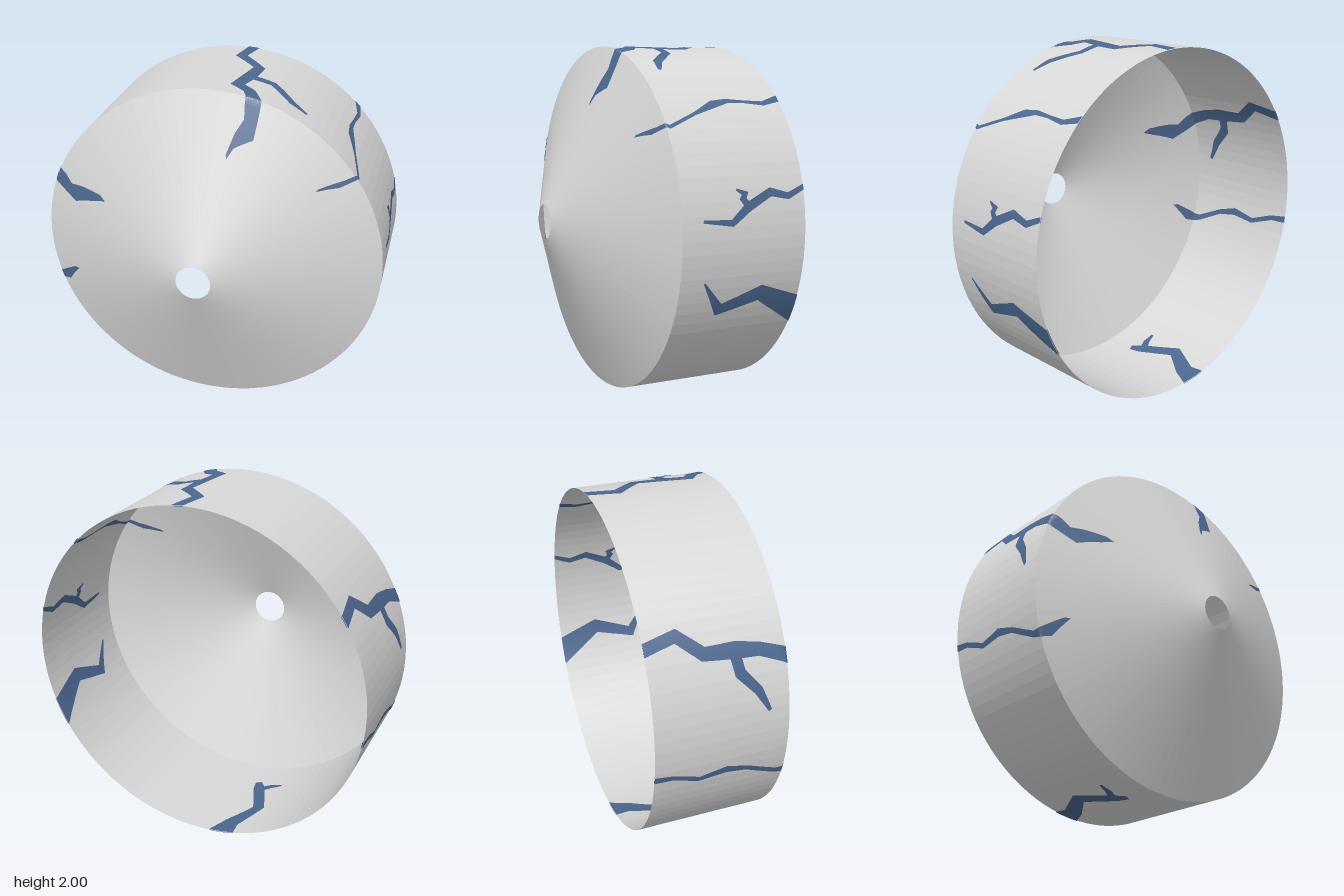
import * as THREE from 'three';

const BACK = -0.55, CREASE = 0.19, FRONT = 0.55, HOLE = 0.1;
const SLOPE = (1 - HOLE) / (FRONT - CREASE);

// Point on the shell at an angle (radians from the top towards +x) and depth z, lifted off the surface
function onShell(a, z, lift) {
  const cone = z > CREASE;
  const r = (cone ? 1 - (z - CREASE) * SLOPE : 1) + lift * (cone ? 0.37 : 1);
  return [r * Math.sin(a), r * Math.cos(a), z + (cone ? lift * 0.93 : 0)];
}

// Ribbon following the shell; each point is [z, angle in degrees, width]
function crackGeometry(path, lift) {
  const pts = path.map(([z, a, w]) => ({ p: new THREE.Vector2(THREE.MathUtils.degToRad(a), z), w }));
  const n = pts.length, LONG = 12, WIDE = 6;
  const dirs = pts.slice(1).map((q, i) => q.p.clone().sub(pts[i].p).normalize());
  // Mitred left and right edges
  const edges = pts.map(({ p, w }, i) => {
    const d0 = dirs[Math.max(i - 1, 0)], d1 = dirs[Math.min(i, n - 2)];
    const t = d0.clone().add(d1).normalize();
    let side = new THREE.Vector2(t.y, -t.x);
    if (p.y === BACK) side.set(1, 0);
    const mitre = Math.min(1 / Math.max(t.dot(d1), 0.1), 1.5);
    side.multiplyScalar(w / 2 * (p.y === BACK ? 1 : mitre));
    return [p.clone().sub(side), p.clone().add(side)];
  });
  const pos = [], index = [], rows = (n - 1) * LONG;
  for (let r = 0; r <= rows; r++) {
    const i = Math.min(Math.floor(r / LONG), n - 2), f = r / LONG - i;
    const l = edges[i][0].clone().lerp(edges[i + 1][0], f);
    const m = edges[i][1].clone().lerp(edges[i + 1][1], f);
    for (let c = 0; c <= WIDE; c++) {
      const q = l.clone().lerp(m, c / WIDE);
      pos.push(...onShell(q.x, Math.max(q.y, BACK), lift));
      if (r < rows && c < WIDE) {
        const k = r * (WIDE + 1) + c, up = k + WIDE + 1;
        index.push(k, k + 1, up, k + 1, up + 1, up);
      }
    }
  }
  const g = new THREE.BufferGeometry();
  g.setAttribute('position', new THREE.Float32BufferAttribute(pos, 3));
  g.setIndex(index);
  g.computeVertexNormals();
  return g;
}

// Crack paths: a main run followed by any branch
const cracks = {
  topCrack: [
    [[BACK, 4, 0.065], [-0.38, 2, 0.06], [-0.24, 10, 0.06], [-0.1, 9, 0.075], [0.06, 7, 0.065],
      [0.11, 11.5, 0.07], [0.19, 14, 0.08], [0.25, 16, 0.07], [0.28, 12, 0.035], [0.315, 10.5, 0.015]],
    [[-0.08, 9, 0.06], [-0.08, 17, 0.05], [0.04, 25, 0.05], [0.07, 30.5, 0.02]],
  ],
  upperLeftCrack: [
    [[BACK, 45, 0.045], [-0.44, 47, 0.03], [-0.32, 46.2, 0.02], [-0.22, 45.8, 0.03], [-0.13, 47, 0.05],
      [0, 50.5, 0.02], [0.17, 55, 0.02], [0.22, 53.5, 0.025], [0.268, 50, 0.008]],
  ],
  leftCrack: [
    [[BACK, 75.5, 0.03], [-0.45, 78, 0.035], [-0.34, 76.5, 0.045], [-0.2, 80.5, 0.05], [-0.1, 85, 0.035], [0.07, 84, 0.015]],
    [[-0.21, 81, 0.045], [-0.17, 78, 0.035], [-0.185, 76.5, 0.03], [-0.135, 75.2, 0.012]],
  ],
  lowerLeftCrack: [
    [[BACK, 115, 0.18], [-0.3, 107.5, 0.085], [-0.06, 112, 0.06], [0.05, 102.5, 0.01]],
  ],
  bottomCrack: [
    [[BACK, 189.5, 0.16], [-0.45, 191, 0.1], [-0.28, 197, 0.07], [-0.06, 191.5, 0.07], [0, 190, 0.04]],
    [[-0.08, 192, 0.05], [-0.04, 196, 0.04], [-0.03, 200, 0.015]],
  ],
  lowerRightCrack: [
    [[BACK, -99.5, 0.04], [-0.45, -100, 0.03], [-0.3, -103, 0.03], [-0.15, -101.5, 0.045], [-0.03, -103, 0.03],
      [0.14, -107.5, 0.035], [0.2, -108, 0.05], [0.25, -104, 0.015]],
  ],
  rightCrack: [
    [[BACK, -58.5, 0.07], [-0.38, -56, 0.065], [-0.25, -62.5, 0.07], [-0.08, -63, 0.09], [0.05, -64, 0.07],
      [0.19, -67, 0.08], [0.245, -69.3, 0.065], [0.28, -65, 0.05], [0.316, -61.2, 0.02]],
    [[-0.09, -63, 0.06], [-0.07, -70, 0.06], [0.02, -76, 0.05], [0.08, -83, 0.02]],
  ],
};

export function createModel() {
  const model = new THREE.Group();
  const shellMat = new THREE.MeshStandardMaterial({ color: 0xd8d8d8, side: THREE.DoubleSide, flatShading: true });
  shellMat.name = 'pale grey';
  const crackMat = new THREE.MeshStandardMaterial({ color: 0x4c6790, side: THREE.DoubleSide });
  crackMat.name = 'slate blue';

  // Thin drum with a cone front and a round hole, open at the back
  const profile = [[HOLE, FRONT], [1, CREASE], [1, BACK]].map(([r, z]) => new THREE.Vector2(r, z));
  const shell = new THREE.Mesh(new THREE.LatheGeometry(profile, 96).rotateX(Math.PI / 2), shellMat);
  shell.name = 'shell';
  model.add(shell);

  // Cracks painted on the outside and the inside
  for (const [name, paths] of Object.entries(cracks)) {
    const group = new THREE.Group();
    group.name = name;
    for (const path of paths) {
      for (const lift of [0.003, -0.004]) {
        const mesh = new THREE.Mesh(crackGeometry(path, lift), crackMat);
        mesh.name = lift > 0 ? 'outerCrack' : 'innerCrack';
        group.add(mesh);
      }
    }
    model.add(group);
  }

  for (const part of model.children) part.position.y = 1;
  return model;
}
